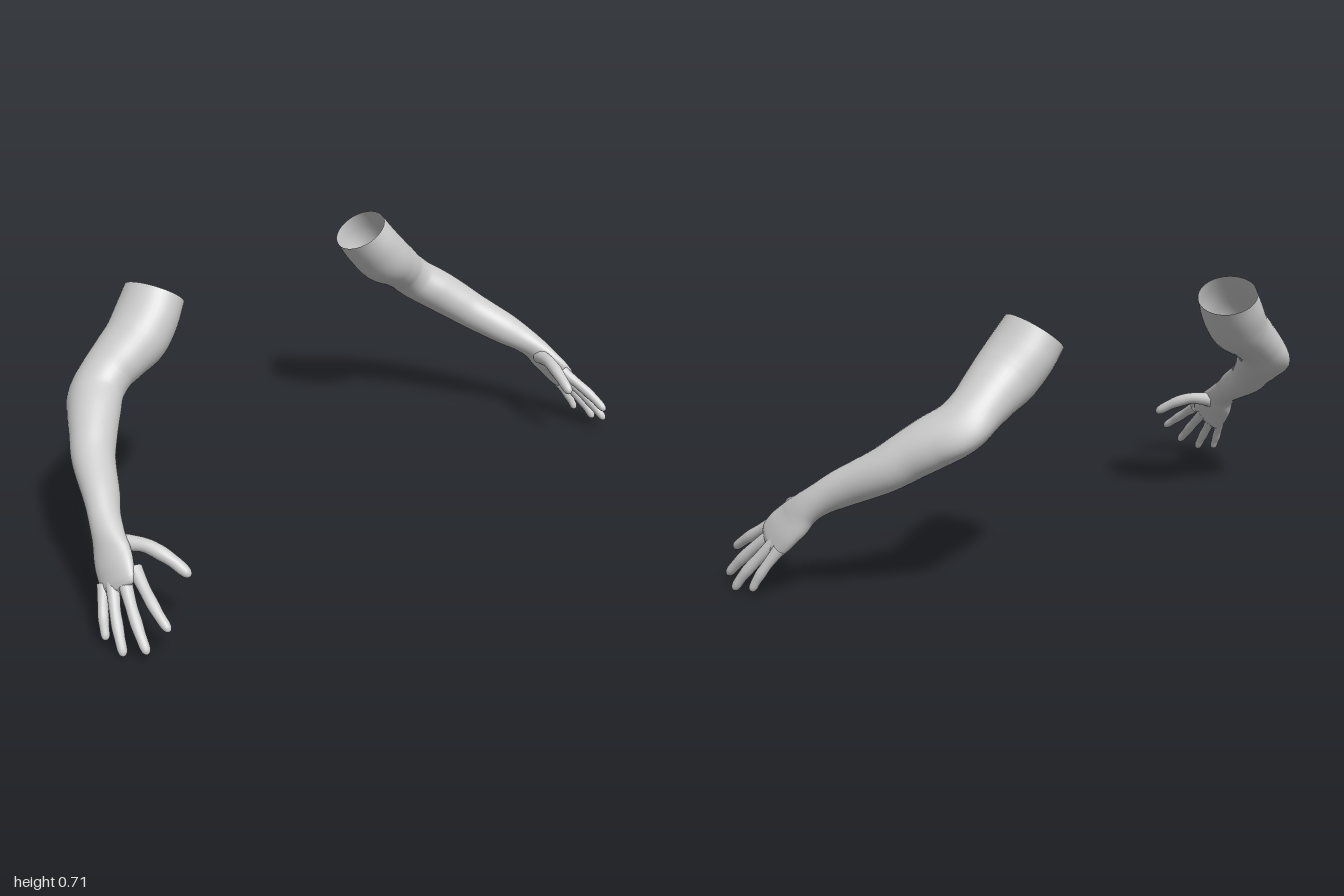
import * as THREE from 'three';

const material = new THREE.MeshStandardMaterial({ color: 0xcccccc, side: THREE.DoubleSide });

// Smooth skin through cross-sections [x, y, z, halfDepth, halfWidth, bump].
// Depth lies along the backward direction, bump pushes out a point there.
function loft(name, sections, side, steps, sides) {
  const path = new THREE.CatmullRomCurve3(sections.map(s => new THREE.Vector3(s[0], s[1], s[2])));
  const size = new THREE.CatmullRomCurve3(sections.map(s => new THREE.Vector3(s[3], s[4], s[5] || 0)));
  const positions = [], index = [];
  for (let i = 0; i <= steps; i++) {
    const c = path.getPoint(i / steps), t = path.getTangent(i / steps), r = size.getPoint(i / steps);
    const u = new THREE.Vector3(0, 0, -1).addScaledVector(t, t.z).normalize();
    const v = new THREE.Vector3().crossVectors(t, u);
    for (let j = 0; j < sides; j++) {
      const a = (j / sides) * Math.PI * 2, cos = Math.cos(a);
      const p = c.clone()
        .addScaledVector(u, r.x * cos + r.z * Math.max(0, cos) ** 6)
        .addScaledVector(v, r.y * Math.sin(a));
      positions.push(p.x * side, p.y, p.z);
      if (i === steps) continue;
      const k = (j + 1) % sides;
      const q = [i * sides + j, i * sides + k, (i + 1) * sides + j, (i + 1) * sides + k];
      if (side > 0) index.push(q[0], q[1], q[2], q[1], q[3], q[2]);
      else index.push(q[0], q[2], q[1], q[1], q[2], q[3]);
    }
  }
  const geometry = new THREE.BufferGeometry();
  geometry.setAttribute('position', new THREE.Float32BufferAttribute(positions, 3));
  geometry.setIndex(index);
  geometry.computeVertexNormals();
  const mesh = new THREE.Mesh(geometry, material);
  mesh.name = name;
  return mesh;
}

// Finger: bent path with a taper and a rounded tip
function finger(name, points, radius, side) {
  const curve = new THREE.CatmullRomCurve3(points.map(p => new THREE.Vector3(...p)));
  const taper = [[0, 1.2], [0.15, 1.05], [0.35, 0.93], [0.52, 0.97], [0.7, 0.84],
    [0.86, 0.8], [0.94, 0.66], [0.985, 0.36], [1, 0.01]];
  const sections = taper.map(([t, k]) => [...curve.getPoint(t).toArray(), radius * k, radius * k]);
  return loft(name, sections, side, 32, 16);
}

// Open upper arm, elbow, forearm, wrist and palm
const armSections = [
  [0.415, 0.663, -0.268, 0.093, 0.078],
  [0.455, 0.61, -0.257, 0.098, 0.081],
  [0.5, 0.562, -0.248, 0.094, 0.083],
  [0.555, 0.525, -0.248, 0.085, 0.074],
  [0.605, 0.49, -0.248, 0.077, 0.067, 0.004],
  [0.652, 0.452, -0.235, 0.076, 0.066, 0.014],
  [0.7, 0.415, -0.19, 0.072, 0.066, 0.004],
  [0.74, 0.38, -0.145, 0.064, 0.063],
  [0.777, 0.345, -0.1, 0.058, 0.059],
  [0.833, 0.29, 0, 0.047, 0.051],
  [0.863, 0.26, 0.048, 0.042, 0.042],
  [0.883, 0.232, 0.085, 0.046, 0.036],
  [0.898, 0.2, 0.115, 0.058, 0.031],
  [0.913, 0.17, 0.145, 0.062, 0.027],
  [0.925, 0.143, 0.17, 0.059, 0.021],
  [0.93, 0.131, 0.182, 0.05, 0.013],
  [0.932, 0.127, 0.186, 0.001, 0.001],
];

const fingers = [
  ['thumb', 0.02, [[0.872, 0.215, 0.115], [0.842, 0.218, 0.175], [0.814, 0.192, 0.242], [0.796, 0.158, 0.295]]],
  ['indexFinger', 0.0165, [[0.89, 0.178, 0.195], [0.904, 0.145, 0.25], [0.914, 0.11, 0.305], [0.916, 0.078, 0.352]]],
  ['middleFinger', 0.0165, [[0.911, 0.158, 0.175], [0.938, 0.108, 0.235], [0.955, 0.06, 0.285], [0.963, 0.022, 0.322]]],
  ['ringFinger', 0.016, [[0.928, 0.143, 0.152], [0.958, 0.09, 0.195], [0.979, 0.04, 0.235], [0.989, 0.001, 0.261]]],
  ['littleFinger', 0.0145, [[0.938, 0.128, 0.128], [0.962, 0.085, 0.152], [0.978, 0.045, 0.174], [0.986, 0.014, 0.189]]],
];

export function createModel() {
  const model = new THREE.Group();
  model.name = 'pairOfArms';
  for (const [name, side] of [['leftArm', 1], ['rightArm', -1]]) {
    const arm = new THREE.Group();
    arm.name = name;
    arm.add(loft('armAndPalm', armSections, side, 96, 40));
    for (const [label, radius, points] of fingers) arm.add(finger(label, points, radius, side));
    model.add(arm);
  }
  return model;
}
